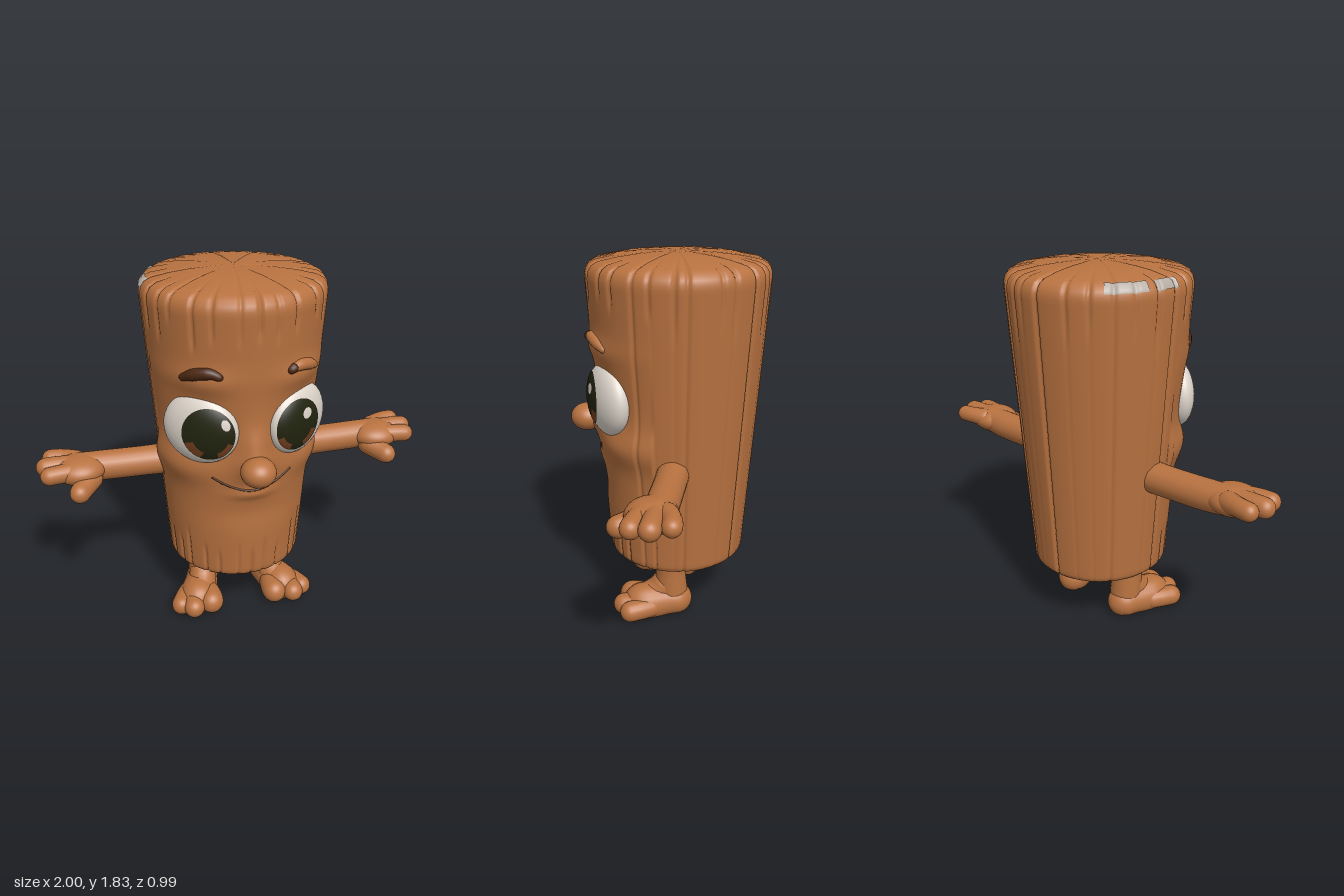
import * as THREE from 'three';
import { mergeVertices } from 'three/addons/utils/BufferGeometryUtils.js';

const mat = (name, color) => Object.assign(new THREE.MeshStandardMaterial({ color }), { name });
const wood = mat('wood', 0xb87240);
const darkBark = mat('dark bark', 0x4c2812);
const white = mat('eye white', 0xddd4ca);
const brown = mat('iris brown', 0x74401f);
const black = mat('pupil', 0x22240f);
const pale = mat('pale rim patch', 0xb5aca2);

function part(parent, name, geometry, material) {
  const m = new THREE.Mesh(geometry, material);
  m.name = name;
  parent.add(m);
  return m;
}

// ---- trunk surface ----
const CZ = -0.054;
const wallR = (y) => 0.347 + ((y - 0.33) / 1.4) * 0.095;
const gauss = (d, w) => Math.exp(-(d * d) / (w * w));
const { smoothstep, lerp } = THREE.MathUtils;
let seed = 7;
const rand = () => (seed = (seed * 16807) % 2147483647) / 2147483647;

// bark grooves: irregular angles, each with its own depth and reach
const grooves = Array.from({ length: 27 }, (_, i) => ({
  a: -Math.PI + ((i + 0.5 + (rand() - 0.5) * 0.6) / 27) * 2 * Math.PI,
  depth: 0.007 + rand() * 0.007, up: 1.52 + rand() * 0.13, low: 0.45 + rand() * 0.25, long: i % 3 === 0,
}));

// soft face bumps: x, y, width, height, push
const bumps = [];
for (const s of [-1, 1]) bumps.push(
  [s * 0.32, 0.95, 0.13, 0.09, 0.032], // cheek
  [s * 0.23, 1.165, 0.13, 0.13, -0.022], // eye socket
  [s * 0.22, 1.41, 0.13, 0.06, 0.022]); // brow
bumps.push([0, 1.07, 0.07, 0.1, 0.038], [0, 0.99, 0.085, 0.06, 0.035], // nose bridge and root
  [0, 0.93, 0.13, 0.07, 0.015], [0, 0.82, 0.1, 0.025, 0.02], [0, 0.7, 0.2, 0.08, -0.012]); // lips and chin

function trunkPoint(theta, r, y, off = 0) {
  const R = wallR(y), k = Math.min(1, r / R), front = Math.cos(theta) > 0.15;
  let d = 0, dip = 0;
  for (const g of grooves) {
    const n = g.depth * gauss(theta - g.a, 0.022);
    let w = 1;
    if (front && !(g.long && Math.cos(theta) < 0.4)) {
      w = Math.max(smoothstep(y, g.up, g.up + 0.08), 1 - smoothstep(y, g.low - 0.1, g.low));
    } else if (!g.long) w = 0.2 + 0.8 * smoothstep(y, g.up - 0.1, g.up + 0.1);
    d -= n * w;
    if (y > 1.75) dip += n * 0.8 * k * (g.long ? 1 : smoothstep(k, 0.7, 0.95));
  }
  if (front) for (const [x, by, w, h, p] of bumps)
    d += p * gauss(Math.sin(theta) * R - x, w) * gauss(y - by, h);
  const rr = r + d * k * k + off;
  return new THREE.Vector3(rr * Math.sin(theta), y - dip + (y > 1.75 ? off : 0), CZ + rr * Math.cos(theta));
}

function trunkSheet(rows, t0, t1, n, off = 0) {
  const pos = [], idx = [], closed = t1 - t0 > 6;
  rows.forEach(([r, y], j) => {
    for (let i = 0; i <= n; i++) {
      const t = closed && i === n ? t0 : t0 + ((t1 - t0) * i) / n;
      pos.push(...trunkPoint(t, r, y, off).toArray());
      if (j && i) {
        const d = j * (n + 1) + i, c = d - 1, b = d - n - 1, a = b - 1;
        idx.push(a, b, d, a, d, c);
      }
    }
  });
  let g = new THREE.BufferGeometry();
  g.setAttribute('position', new THREE.Float32BufferAttribute(pos, 3));
  g.setIndex(idx);
  g = mergeVertices(g, 1e-5);
  g.computeVertexNormals();
  return g;
}

// ---- tapered tube with round ends through [x, y, z, radius] points ----
function limb(pts, sides = 20, steps = 36) {
  const curve = new THREE.CatmullRomCurve3(pts.map((p) => new THREE.Vector3(p[0], p[1], p[2])));
  const g = new THREE.TubeGeometry(curve, steps, 1, sides);
  const len = curve.getLength(), p = g.attributes.position, v = new THREE.Vector3();
  for (let i = 0; i <= steps; i++) {
    // ease the spacing so the rounded ends get more rings
    const t = (1 - Math.cos((Math.PI * i) / steps)) / 2;
    const c0 = curve.getPointAt(i / steps), c = curve.getPointAt(t);
    const f = t * (pts.length - 1), k = Math.min(pts.length - 2, Math.floor(f));
    const r = lerp(pts[k][3], pts[k + 1][3], f - k);
    const e = Math.max(0, 1 - Math.min(t, 1 - t) * len / r);
    const s = Math.max(r * Math.sqrt(1 - e * e), 1e-4);
    for (let j = 0; j <= sides; j++) {
      const q = i * (sides + 1) + j;
      v.fromBufferAttribute(p, q).sub(c0).multiplyScalar(s).add(c);
      p.setXYZ(q, v.x, Math.max(0.003, v.y), v.z); // flat soles
    }
  }
  g.deleteAttribute('uv');
  g.deleteAttribute('normal');
  const m = mergeVertices(g, 1e-5);
  m.computeVertexNormals();
  return m;
}

const ball = (x, y, z, a, b, c) => new THREE.SphereGeometry(1, 36, 24).scale(a, b, c).translate(x, y, z);

// cap, or sector of a ring, on the eyeball around a local direction
function eyeCap(s, dir, k, angle, inner = 0, phi = 0, sweep = Math.PI * 2) {
  const q = new THREE.Quaternion().setFromUnitVectors(
    new THREE.Vector3(0, 1, 0), new THREE.Vector3(dir[0] * s, dir[1], dir[2]).normalize());
  return new THREE.SphereGeometry(k, 40, 24, phi, sweep, inner, angle - inner).applyQuaternion(q)
    .scale(0.185, 0.177, 0.088).rotateY(s * 0.6).translate(s * 0.23, 1.165, 0.245);
}

export function createModel() {
  const root = new THREE.Group();
  root.name = 'logCharacter';

  // trunk
  const rows = [[0.001, 0.308], [0.15, 0.307], [0.3, 0.303], [0.332, 0.306], [0.343, 0.318]];
  for (let i = 0; i <= 70; i++) {
    const y = 0.335 + (i / 70) * 1.385;
    rows.push([wallR(y), y]);
  }
  rows.push([0.44, 1.74], [0.434, 1.763], [0.419, 1.784], [0.388, 1.8],
    [0.3, 1.816], [0.2, 1.826], [0.1, 1.831], [0.001, 1.832]);
  part(root, 'trunk', trunkSheet(rows, -Math.PI, Math.PI, 360), wood);

  // worn patches on the top rim
  const worn = [[0.437, 1.752], [0.434, 1.763], [0.419, 1.784], [0.402, 1.793]];
  for (const [a, b] of [[-1.82, -1.53], [-2.38, -1.93]])
    part(root, 'rimPatch', trunkSheet(worn, a, b, 24, 0.003), pale);

  // nose and mouth
  part(root, 'nose', ball(0, 0.988, 0.414, 0.084, 0.07, 0.084), wood);
  const onTrunk = (x, y, off) => trunkPoint(Math.asin(x / wallR(y)), wallR(y), y, off);
  const smile = [];
  for (let i = -8; i <= 8; i++) smile.push([...onTrunk(i * 0.0235, 0.846 + 0.076 * (i / 8) ** 2, 0).toArray(), 0.006]);
  part(root, 'mouth', limb(smile, 8, 48), darkBark);

  for (const s of [-1, 1]) {
    const side = s > 0 ? 'left' : 'right';

    // eye, with brown flecks in the lower corners of the iris
    const eye = new THREE.Group();
    eye.name = side + 'Eye';
    root.add(eye);
    const look = [-0.45, 0, 0.89], down = Math.PI / 2 - s * 0.47;
    part(eye, 'eyeball', eyeCap(s, [0, 0, 1], 1, Math.PI), white);
    part(eye, 'pupil', eyeCap(s, look, 1.015, 0.8), black);
    for (const a of [-1.2, 0.36])
      part(eye, 'irisFleck', eyeCap(s, look, 1.025, 0.78, 0.52, down + a, 0.84), brown);
    part(eye, 'glint', eyeCap(s, s > 0 ? [-0.14, 0.31, 0.94] : [-0.74, 0.31, 0.56], 1.032, 0.15), white);

    // eyebrow
    const brow = [[0.145, 1.44, 0.016], [0.19, 1.46, 0.028], [0.25, 1.452, 0.028], [0.312, 1.418, 0.015]]
      .map(([x, y, r]) => [...onTrunk(s * x, y, -0.004).toArray(), r]);
    part(root, side + 'Eyebrow', limb(brow, 14), s < 0 ? darkBark : wood);
    if (s > 0) part(root, 'eyebrowShade', limb(brow.slice(0, 2).map((p) => [p[0], p[1] + 0.004, p[2] + 0.004, p[3]]), 14), darkBark);

    // arm, palm, fingers and thumb
    const arm = new THREE.Group();
    arm.name = side + 'Arm';
    root.add(arm);
    const add = (g, name, pts) => part(g, name, limb(pts.map(([x, y, z, r]) => [s * x, y, z, r])), wood);
    add(arm, 'forearm', [[0.28, 0.847, -0.08, 0.08], [0.5, 0.847, -0.082, 0.076], [0.7, 0.852, -0.08, 0.076], [0.86, 0.865, -0.075, 0.07]]);
    part(arm, 'palm', ball(s * 0.79, 0.86, -0.055, 0.13, 0.07, 0.118), wood);
    add(arm, 'finger', [[0.76, 0.868, -0.1, 0.056], [0.87, 0.882, -0.15, 0.045], [0.967, 0.882, -0.163, 0.043]]);
    add(arm, 'finger', [[0.76, 0.868, -0.07, 0.056], [0.9, 0.88, -0.075, 0.048], [1.0, 0.875, -0.073, 0.048]]);
    add(arm, 'finger', [[0.76, 0.86, -0.03, 0.056], [0.88, 0.872, 0.0, 0.047], [0.982, 0.868, 0.012, 0.045]]);
    add(arm, 'thumb', [[0.71, 0.838, -0.05, 0.065], [0.775, 0.81, 0.04, 0.055], [0.828, 0.795, 0.13, 0.047]]);

    // leg, foot and toes
    const leg = new THREE.Group();
    leg.name = side + 'Leg';
    root.add(leg);
    add(leg, 'shin', [[0.18, 0.42, -0.045, 0.08], [0.18, 0.25, -0.045, 0.077], [0.175, 0.03, -0.055, 0.09]]);
    add(leg, 'instep', [[0.18, 0.2, -0.05, 0.07], [0.195, 0.11, 0.01, 0.075], [0.23, 0.05, 0.12, 0.075]]);
    add(leg, 'foot', [[0.165, 0.055, -0.157, 0.08], [0.19, 0.06, -0.04, 0.09], [0.235, 0.055, 0.08, 0.1], [0.26, 0.05, 0.19, 0.09]]);
    add(leg, 'toe', [[0.19, 0.06, 0.02, 0.062], [0.178, 0.062, 0.12, 0.066], [0.18, 0.058, 0.222, 0.064]]);
    add(leg, 'toe', [[0.25, 0.06, 0.03, 0.054], [0.27, 0.06, 0.13, 0.056], [0.283, 0.053, 0.237, 0.054]]);
    add(leg, 'toe', [[0.25, 0.055, 0.0, 0.054], [0.312, 0.055, 0.09, 0.054], [0.362, 0.05, 0.185, 0.052]]);
  }
  return root;
}
